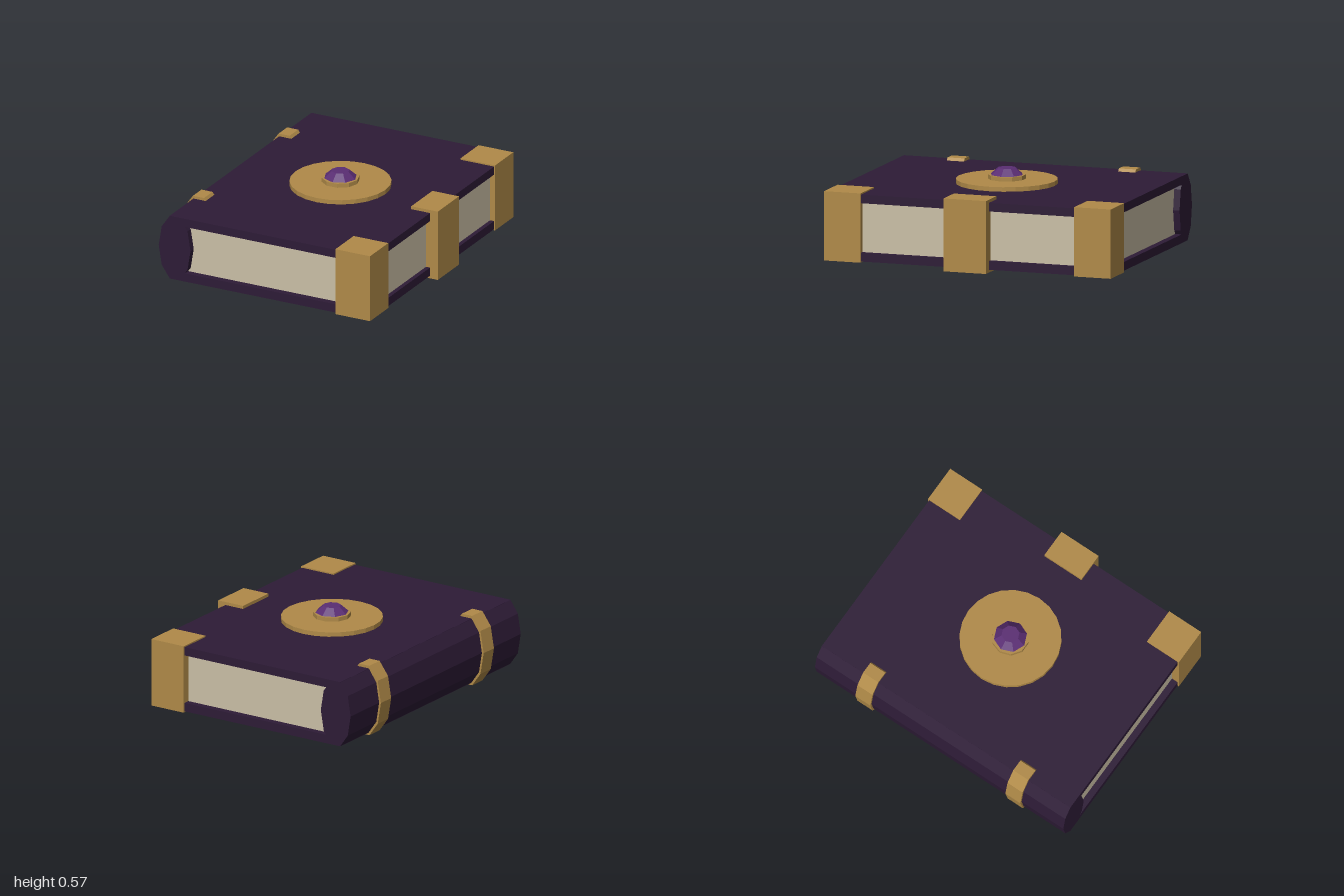
import * as THREE from 'three';

const mat = (color) => new THREE.MeshStandardMaterial({ color, flatShading: true });

export function createModel() {
  const book = new THREE.Group();
  book.name = 'book';
  const leather = mat(0x2d1b36), gold = mat(0xb08a48), paper = mat(0xcabfa6), jewel = mat(0x5a2d73);

  const add = (name, geometry, material) => {
    const mesh = new THREE.Mesh(geometry, material);
    mesh.name = name;
    book.add(mesh);
    return mesh;
  };
  // Box given by its minimum and maximum on each axis
  const box = (name, material, [x0, x1], [y0, y1], [z0, z1]) =>
    add(name, new THREE.BoxGeometry(x1 - x0, y1 - y0, z1 - z0), material)
      .position.set((x0 + x1) / 2, (y0 + y1) / 2, (z0 + z1) / 2);
  // Ten-sided oval bar lying along z, with corners on the x axis
  const ovalBar = (name, material, rx, ry, length, z) => {
    const g = new THREE.CylinderGeometry(1, 1, length, 10);
    g.rotateY(Math.PI / 2).rotateX(Math.PI / 2).scale(rx, ry, 1);
    add(name, g, material).position.set(-0.688, 0.245, z);
  };

  // Covers, pages and spine
  box('backCover', leather, [-0.725, 0.76], [0.022, 0.08], [-0.99, 0.99]);
  box('frontCover', leather, [-0.725, 0.76], [0.41, 0.467], [-0.99, 0.99]);
  box('pages', paper, [-0.66, 0.73], [0.07, 0.42], [-0.945, 0.945]);
  ovalBar('spine', leather, 0.118, 0.233, 1.98, 0);

  // Metal bands round the spine and corner guards
  for (const side of [-1, 1]) {
    ovalBar('spineBand', gold, 0.132, 0.253, 0.12, side * 0.598);
    box('cornerGuard', gold, [0.51, 0.767], [0.015, 0.476], side > 0 ? [0.745, 1] : [-1, -0.745]);
  }

  // Clasp on the opening edge
  box('clasp', gold, [0.62, 0.817], [0.003, 0.488], [-0.148, 0.148]);

  // Medallion, gem setting and gem on the front cover
  const disc = (name, material, rTop, rBottom, y0, y1, sides) => {
    const g = new THREE.CylinderGeometry(rTop, rBottom, y1 - y0, sides).rotateY(Math.PI / 2);
    add(name, g, material).position.set(0.016, (y0 + y1) / 2, 0);
  };
  disc('medallion', gold, 0.335, 0.335, 0.46, 0.497, 24);
  disc('gemSetting', gold, 0.125, 0.125, 0.49, 0.525, 10);
  disc('gem', jewel, 0.06, 0.11, 0.525, 0.57, 8);

  return book;
}
